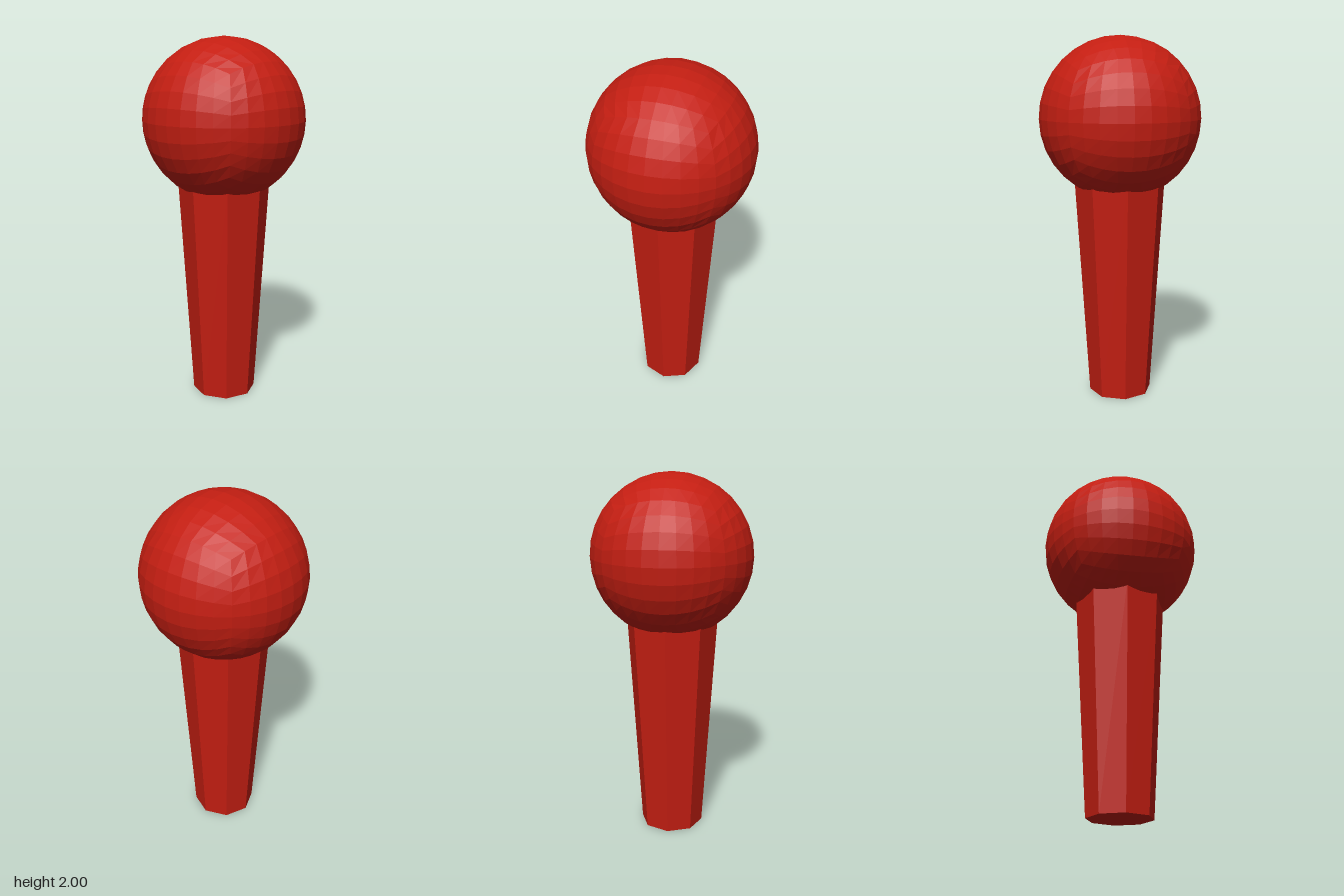
import * as THREE from 'three';

const RADIUS = 0.44;
const CENTRE_Y = 1.56;

// Cube with 8 x 8 faces per side, rounded into a sphere with equal angle steps
function quadSphere(radius, divisions) {
  const geometry = new THREE.BoxGeometry(2, 2, 2, divisions, divisions, divisions);
  const pos = geometry.attributes.position;
  const v = new THREE.Vector3();
  const spread = (t) => Math.tan(t * Math.PI / 4);
  for (let i = 0; i < pos.count; i++) {
    v.fromBufferAttribute(pos, i);
    v.set(spread(v.x), spread(v.y), spread(v.z)).setLength(radius);
    pos.setXYZ(i, v.x, v.y, v.z);
  }
  geometry.computeVertexNormals();
  return geometry;
}

export function createModel() {
  const model = new THREE.Group();
  model.name = 'knobHandle';
  const red = new THREE.MeshStandardMaterial({ color: 0xc41e12, flatShading: true });

  // Round head
  const head = new THREE.Mesh(quadSphere(RADIUS, 8), red);
  head.name = 'head';
  head.position.y = CENTRE_Y;
  model.add(head);

  // Eight-sided tapered shaft, its top sunk slightly into the head
  const height = 1.24;
  const shaft = new THREE.Mesh(new THREE.CylinderGeometry(0.253, 0.176, height, 8), red);
  shaft.name = 'shaft';
  shaft.position.y = height / 2;
  model.add(shaft);

  return model;
}
